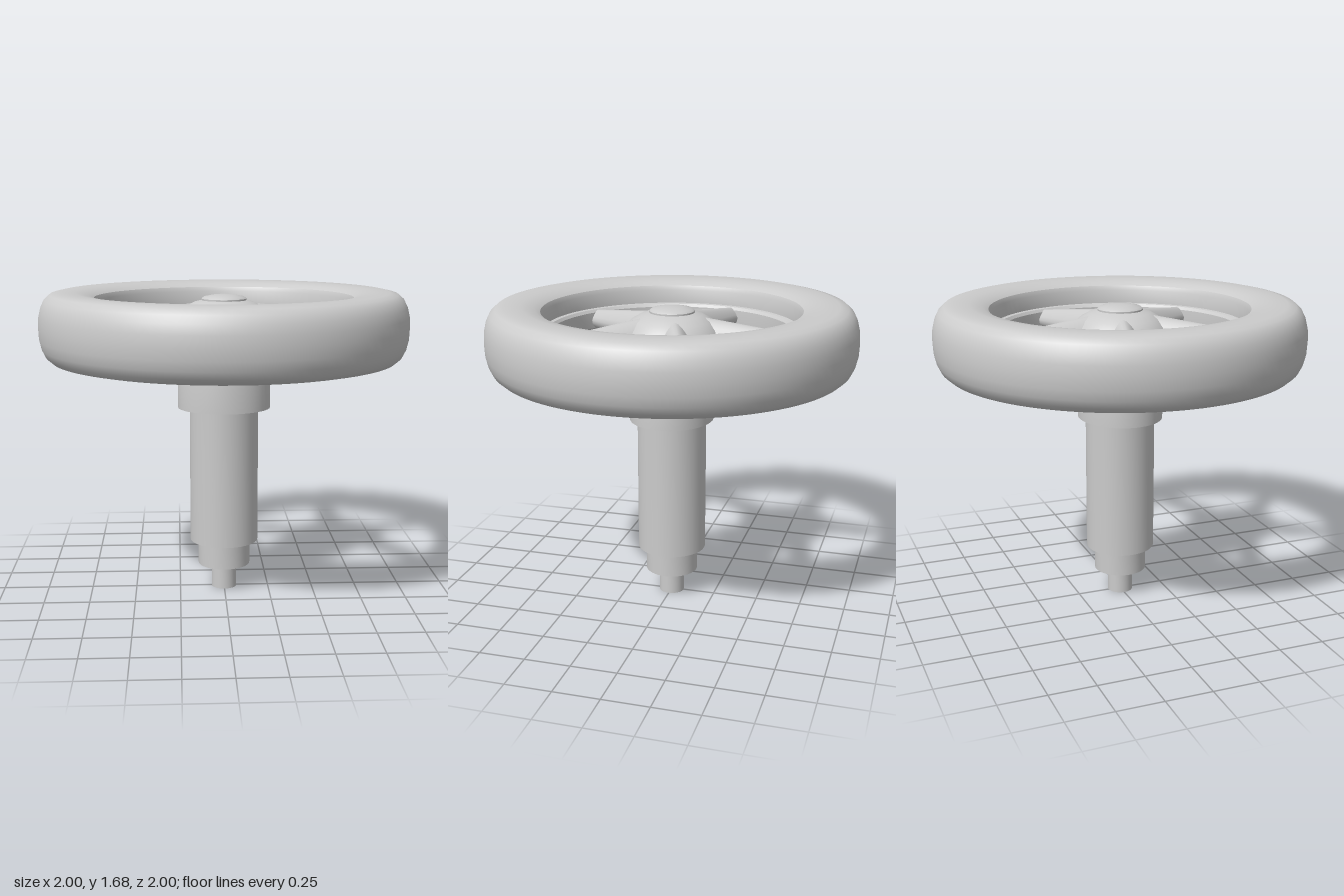
import * as THREE from 'three';
import { mergeVertices, toCreasedNormals } from 'three/addons/utils/BufferGeometryUtils.js';

const grey = new THREE.MeshStandardMaterial({ color: 0xcccccc, side: THREE.DoubleSide });

function add(parent, name, geometry) {
  const mesh = new THREE.Mesh(geometry, grey);
  mesh.name = name;
  parent.add(mesh);
  return mesh;
}

// Turned part from [radius, height] pairs, listed upwards along the outside
function turned(parent, name, profile, segments = 64) {
  const points = profile.map(([r, y]) => new THREE.Vector2(r, y));
  return add(parent, name, toCreasedNormals(new THREE.LatheGeometry(points, segments), 0.6));
}

// Tapered spoke along +x: teardrop section, deep and wide at the hub
function spokeGeometry() {
  let g = new THREE.CylinderGeometry(1, 1, 1, 20, 10, true);
  g.deleteAttribute('uv');
  g.deleteAttribute('normal');
  const p = g.attributes.position;
  const lerp = THREE.MathUtils.lerp;
  for (let i = 0; i < p.count; i++) {
    const t = p.getY(i) + 0.5;
    const up = p.getX(i), side = p.getZ(i);
    const top = lerp(1.61, 1.54, t), bottom = lerp(1.41, 1.435, t);
    const half = lerp(0.088, 0.052, t);
    const pinch = up > 0 ? 1 - 0.35 * up : 1;
    p.setXYZ(i, lerp(0.17, 0.675, t), (top + bottom) / 2 + up * (top - bottom) / 2, -side * half * pinch);
  }
  g = mergeVertices(g, 1e-4);
  g.computeVertexNormals();
  return g;
}

export function createModel() {
  const model = new THREE.Group();
  model.name = 'wheelOnStem';

  // Tyre with rounded shoulders
  const wheel = new THREE.Group();
  wheel.name = 'wheel';
  model.add(wheel);
  const half = [[1, 0], [0.997, 0.06], [0.985, 0.11], [0.965, 0.15], [0.935, 0.176],
    [0.89, 0.186], [0.8, 0.184], [0.73, 0.172], [0.7, 0.155], [0.688, 0.13], [0.685, 0.05]];
  const mid = 1.493;
  const lower = half.slice(1).reverse().map(([r, d]) => [r, mid - d]);
  const upper = half.map(([r, d]) => [r, mid + d]);
  turned(wheel, 'tyre', [...lower, ...upper, lower[0]], 96);

  // Inner rim band
  turned(wheel, 'rim', [[0.7, 1.42], [0.665, 1.425], [0.652, 1.44], [0.65, 1.49],
    [0.652, 1.53], [0.665, 1.545], [0.7, 1.55]].reverse(), 96);

  // Domed hub with a hollow underside
  turned(wheel, 'hub', [[0.13, 1.45], [0.2, 1.44], [0.215, 1.405], [0.265, 1.4], [0.287, 1.42],
    [0.29, 1.46], [0.28, 1.505], [0.255, 1.55], [0.215, 1.59], [0.165, 1.618], [0.12, 1.63]]);
  turned(wheel, 'hubCap', [[0.122, 1.6], [0.122, 1.638], [0.11, 1.648], [0.06, 1.658], [0, 1.662]]);

  // Five spokes
  const spoke = spokeGeometry();
  for (let i = 0; i < 5; i++) {
    add(wheel, 'spoke', spoke).rotation.y = THREE.MathUtils.degToRad(92.5 + i * 72);
  }

  // Stepped stem
  const stem = new THREE.Group();
  stem.name = 'stem';
  model.add(stem);
  turned(stem, 'neck', [[0.16, 1.3], [0.16, 1.38], [0.13, 1.385], [0.13, 1.46]], 40);
  turned(stem, 'shaft', [[0, 0], [0.07, 0], [0.07, 0.14], [0.145, 0.14], [0.145, 0.28],
    [0.19, 0.28], [0.19, 1.05]], 40);
  const collar = turned(stem, 'collar', [[0.18, 1.04], [0.255, 1.04], [0.255, 1.24],
    [0.248, 1.28], [0.225, 1.31], [0.19, 1.33], [0, 1.335]], 48);
  collar.scale.z = 0.9;

  // Cross pins at front and back of the collar
  for (const s of [1, -1]) {
    const pin = turned(stem, 'pin', [[0.045, 0.2], [0.038, 0.235], [0.027, 0.24],
      [0.027, 0.305], [0.02, 0.31], [0, 0.31]], 16);
    pin.position.set(0.02, 1.245, 0);
    pin.rotation.x = s * Math.PI / 2;
  }
  return model;
}
